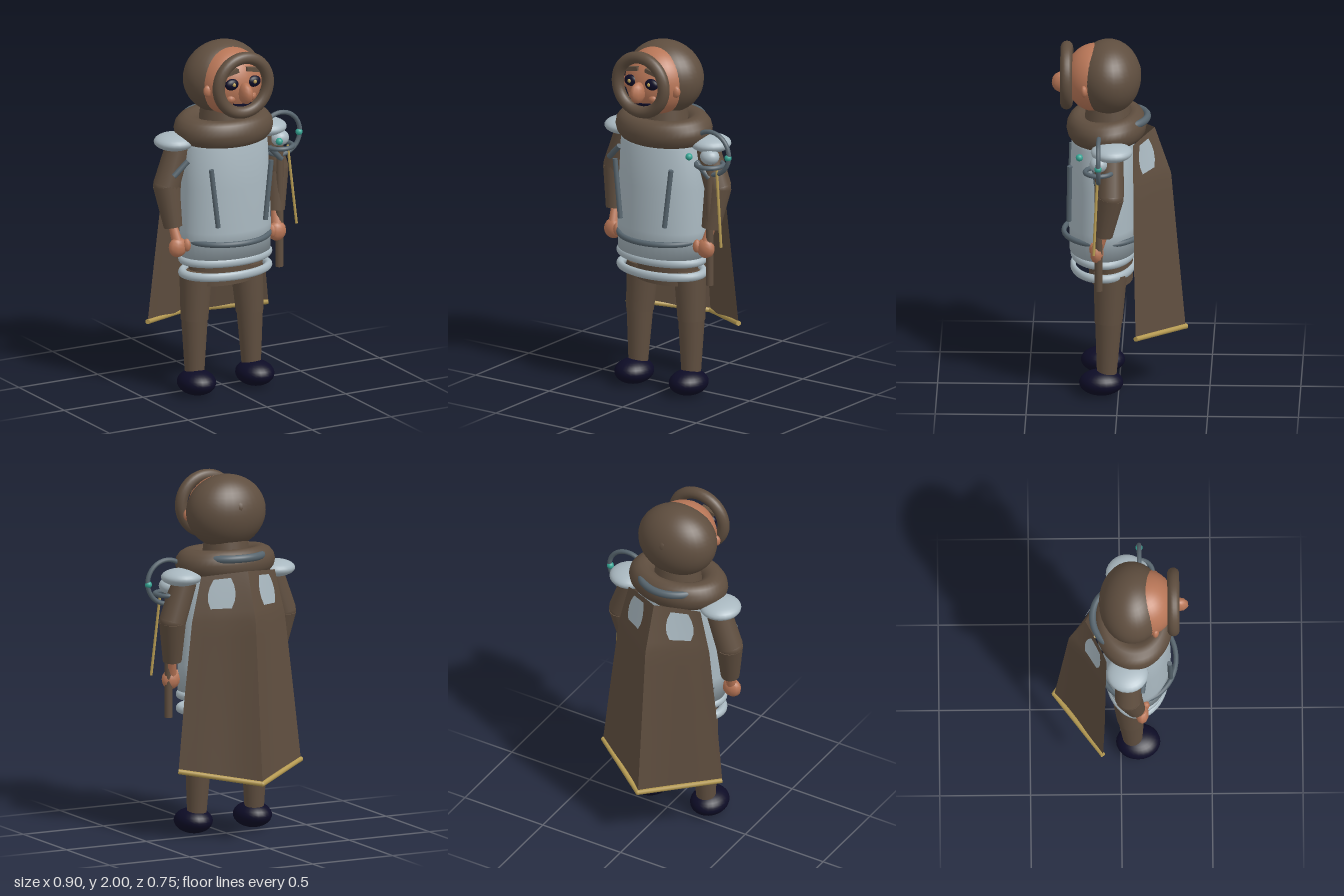
import * as THREE from 'three';

const mat = (name, color, side = THREE.FrontSide) => {
  const m = new THREE.MeshStandardMaterial({ color, side });
  m.name = name;
  return m;
};

export function createModel() {
  const brown = mat('brown cloth', 0x5f4e3f, THREE.DoubleSide);
  const steel = mat('light steel', 0xa9b8c0, THREE.DoubleSide);
  const iron = mat('dark iron', 0x56646d);
  const skin = mat('skin', 0xb87657);
  const gold = mat('gold', 0xb59a52);
  const navy = mat('dark navy', 0x0d0c26);
  const teal = mat('teal', 0x35a594);

  const CX = -0.03; // the figure's own centre line
  const root = new THREE.Group();
  root.name = 'cloakedFigure';

  const add = (name, geo, material, x = 0, y = 0, z = 0) => {
    const m = new THREE.Mesh(geo, material);
    m.name = name;
    m.position.set(x, y, z);
    root.add(m);
    return m;
  };
  const ball = (name, material, p, r, ws = 24, hs = 16) => {
    const m = add(name, new THREE.SphereGeometry(1, ws, hs), material, ...p);
    m.scale.set(...r);
    return m;
  };
  // tapered rod from a to b
  const rod = (name, material, a, b, ra, rb = ra, sides = 16) => {
    const A = new THREE.Vector3(...a), B = new THREE.Vector3(...b);
    const d = B.clone().sub(A);
    const m = add(name, new THREE.CylinderGeometry(rb, ra, d.length(), sides), material);
    m.position.copy(A).add(B).multiplyScalar(0.5);
    m.quaternion.setFromUnitVectors(new THREE.Vector3(0, 1, 0), d.normalize());
    return m;
  };
  // horizontal elliptical ring
  const ring = (name, material, p, rx, rz, tube, flat = 1, arc = Math.PI * 2) => {
    const g = new THREE.TorusGeometry(rx, tube, 14, 48, arc);
    g.rotateX(-Math.PI / 2);
    g.scale(1, flat, rz / rx);
    return add(name, g, material, ...p);
  };

  // Head and hood
  ball('hood', brown, [CX, 1.795, 0.06], [0.23, 0.205, 0.18], 32, 24);
  ball('hoodKnot', brown, [CX, 1.835, -0.075], [0.05, 0.055, 0.045], 8, 6);
  ball('face', skin, [CX, 1.79, 0.13], [0.185, 0.19, 0.17], 32, 24);
  add('hoodRim', new THREE.TorusGeometry(0.156, 0.034, 14, 48), brown, CX, 1.8, 0.29);
  ball('nose', skin, [CX, 1.76, 0.315], [0.036, 0.06, 0.06], 10, 8);
  for (const s of [-1, 1]) {
    ball('eye', navy, [CX + s * 0.07, 1.812, 0.285], [0.042, 0.032, 0.022]);
    ball('pupil', gold, [CX + s * 0.066, 1.815, 0.307], [0.011, 0.011, 0.007], 10, 8);
    ball('cheek', skin, [CX + s * 0.065, 1.725, 0.265], [0.03, 0.026, 0.025], 10, 8);
    ball('ear', skin, [CX + s * 0.165, 1.765, 0.19], [0.03, 0.035, 0.02], 10, 8);
    const brow = add('eyebrow', new THREE.BoxGeometry(0.085, 0.022, 0.03), brown, CX + s * 0.068, 1.878, 0.275);
    brow.rotation.z = -s * 0.2;
    const lip = add('mouth', new THREE.BoxGeometry(0.056, 0.02, 0.02), navy, CX + s * 0.026, 1.682, 0.278);
    lip.rotation.z = s * 0.15;
  }

  // Neck and collar
  rod('neck', brown, [CX, 1.42, 0.06], [CX, 1.64, 0.06], 0.15, 0.12, 24);
  ring('collar', brown, [CX, 1.515, 0.07], 0.21, 0.16, 0.08).rotation.x = 0.06;
  ring('neckband', iron, [CX, 1.555, 0.0], 0.175, 0.155, 0.022, 1, Math.PI).rotation.x = 0.06;

  // Breastplate, belt and tassets
  const shell = new THREE.LatheGeometry(
    [[0, 0.8], [0.268, 0.8], [0.27, 0.95], [0.262, 1.2], [0.25, 1.43], [0.2, 1.48], [0, 1.49]]
      .map(([x, y]) => new THREE.Vector2(x, y)), 40);
  shell.scale(1, 1, 0.69);
  add('breastplate', shell, steel, CX, 0, 0.09);
  ring('belt', iron, [CX, 0.895, 0.09], 0.248, 0.215, 0.016);
  for (const y of [0.777, 0.698]) ring('tasset', steel, [CX, y, 0.09], 0.257, 0.165, 0.024);
  const hips = new THREE.CylinderGeometry(0.195, 0.195, 0.2, 24);
  hips.scale(1, 1, 0.62);
  add('hips', hips, brown, CX, 0.72, 0.045);

  // Limbs, mirrored about the centre line
  for (const s of [-1, 1]) {
    const X = (d) => CX + s * d;
    rod('chestRib', iron, [X(0.19), 1.335, 0.268], [X(0.15), 1.0, 0.274], 0.014);
    ball('pauldron', steel, [X(0.29), 1.455, 0.035], [0.115, 0.048, 0.115]);
    rod('upperArm', brown, [X(0.27), 1.43, 0.04], [X(0.345), 1.21, 0.04], 0.07, 0.075);
    ball('elbow', brown, [X(0.345), 1.21, 0.04], [0.074, 0.06, 0.07]);
    rod('forearm', brown, [X(0.345), 1.21, 0.04], [X(0.325), 0.98, 0.08], 0.075, 0.052);
    rod('armStrap', iron, [X(0.34), 1.28, 0.115], [X(0.26), 1.36, 0.13], 0.016);
    rod('wrist', skin, [X(0.325), 0.98, 0.08], [X(0.315), 0.9, 0.11], 0.025, 0.03, 10);
    ball('hand', skin, [X(0.315), 0.87, 0.115], [0.056, 0.056, 0.038], 10, 8);
    ball('thumb', skin, [X(0.27), 0.88, 0.135], [0.024, 0.038, 0.024], 8, 6);
    rod('thigh', brown, [X(0.16), 0.7, 0.045], [X(0.175), 0.42, 0.055], 0.092, 0.077, 20);
    rod('shin', brown, [X(0.175), 0.43, 0.055], [X(0.18), 0.1, 0.065], 0.074, 0.053, 20);
    ball('shoe', navy, [X(0.185), 0.071, 0.095], [0.104, 0.071, 0.122]);
  }

  // Cape rows: half width, edge y, edge z, ridge y, ridge z
  const rows = [
    [0.23, 1.47, -0.08, 1.5, -0.195],
    [0.29, 1.22, -0.085, 1.235, -0.285],
    [0.34, 0.8, -0.09, 0.78, -0.325],
    [0.383, 0.395, -0.1, 0.335, -0.365],
  ];
  const capePoint = (u, v, lift = 0) => {
    const t = Math.min(v, 0.9999) * (rows.length - 1), i = Math.floor(t), f = t - i;
    const [w, ye, ze, yc, zc] = rows[i].map((a, k) => a + (rows[i + 1][k] - a) * f);
    const k = Math.pow(1 - Math.abs(u), 1.12);
    const fold = 0.008 * v * Math.sin(Math.abs(u) * Math.PI * 2);
    return [CX + w * u + Math.sign(u) * lift * 0.5, ye + (yc - ye) * k, ze + (zc - ze) * k + fold - lift];
  };
  const capeSheet = (u0, u1, v0, v1, nu, nv, lift, trim = 0) => {
    const g = new THREE.PlaneGeometry(1, 1, nu, nv), p = g.attributes.position;
    for (let i = 0; i < p.count; i++) {
      const a = p.getX(i), v = v0 + (v1 - v0) * (0.5 - p.getY(i));
      const pinch = 1 - trim * Math.pow(Math.abs(p.getY(i)) * 2, 2);
      p.setXYZ(i, ...capePoint(u0 + (u1 - u0) * (0.5 + a * pinch), v, lift));
    }
    g.computeVertexNormals();
    return g;
  };
  for (const s of [-1, 1]) {
    add('capeHalf', capeSheet(0, s, 0, 1, 10, 15, 0), brown);
    add('capePatch', capeSheet(s * 0.28, s * 0.8, 0.03, 0.24, 4, 4, 0.007, 0.3), steel);
    rod('capeHem', gold, [CX, 0.335, -0.365], [CX + s * 0.383, 0.395, -0.1], 0.014);
  }
  ball('hemCorner', gold, [CX, 0.335, -0.365], [0.015, 0.015, 0.015], 10, 8);

  // Staff held in the left hand
  const SX = 0.305, SZ = 0.105;
  rod('staff', brown, [SX, 0.66, SZ], [SX, 1.39, SZ], 0.022);
  ball('staffKnob', steel, [SX, 1.4, SZ], [0.055, 0.045, 0.05]);
  add('staffHoop', new THREE.TorusGeometry(0.122, 0.013, 10, 40), iron, SX + 0.008, 1.422, SZ);
  ring('staffRing', iron, [SX, 1.355, SZ], 0.075, 0.075, 0.013);
  for (let i = 0; i < 3; i++) {
    const a = (i * Math.PI * 2) / 3;
    ball('staffBead', teal, [SX + 0.125 * Math.cos(a), 1.415, SZ + 0.125 * Math.sin(a)], [0.02, 0.02, 0.02], 14, 10);
  }
  rod('goldRod', gold, [0.355, 1.35, 0.11], [0.4, 0.9, 0.13], 0.008, 0.008, 8);

  return root;
}
